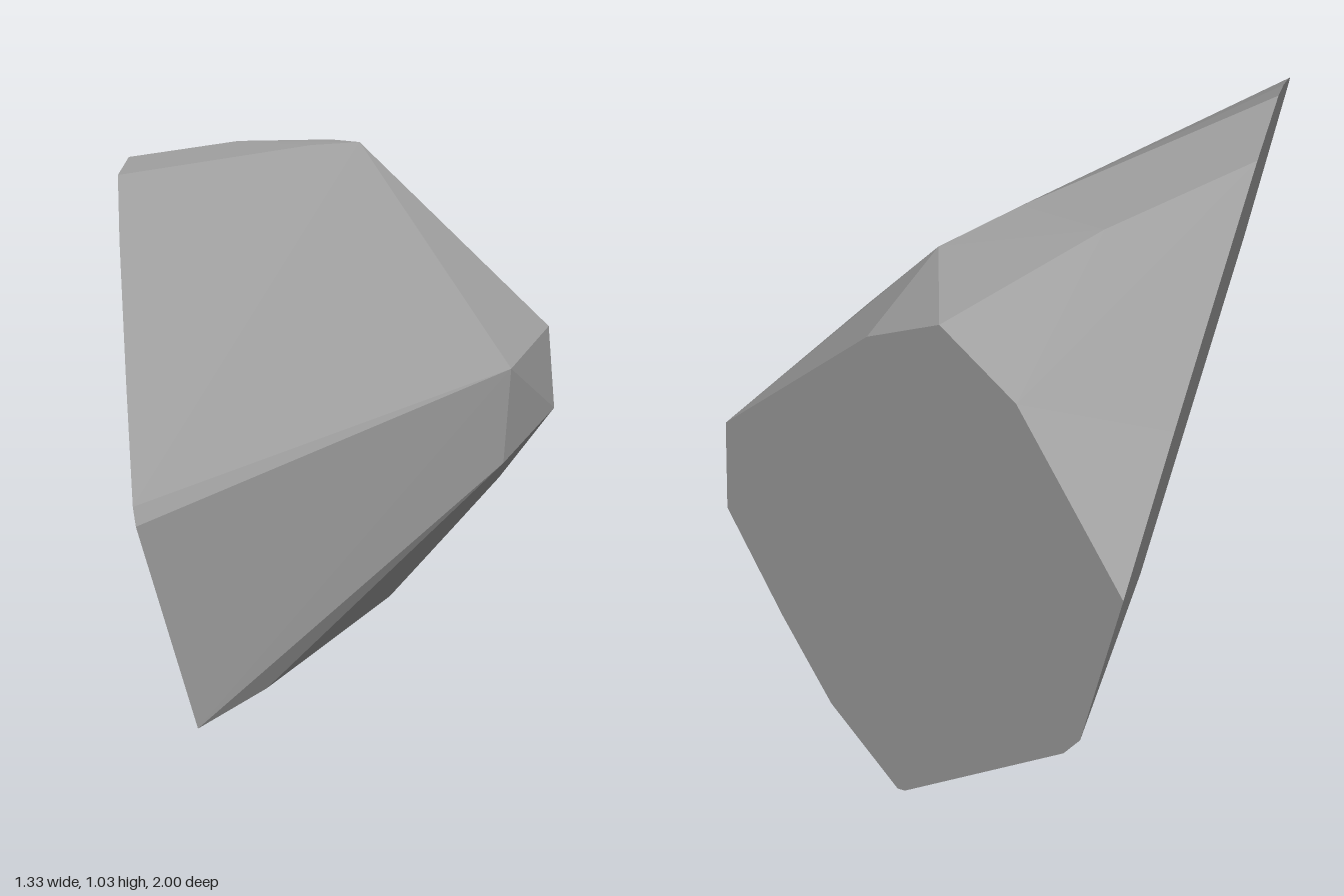
import * as THREE from 'three';
import { ConvexGeometry } from 'three/addons/geometries/ConvexGeometry.js';

// Slanted cleavage plane at the front of the stone
const cutZ = (x, y) => 1.54 * x + 0.47 * y - 0.277;

export function createModel() {
  const group = new THREE.Group();
  group.name = 'rockShard';
  const stone = new THREE.MeshStandardMaterial({ color: 0xa0a0a0 });
  stone.name = 'grey stone';

  // Outline of the slanted front cut
  const front = [
    [-0.55, 0.8], [-0.45, 0.895], [-0.26, 1.03], [-0.08, 1.03], [0.1, 0.94],
    [0.4, 0.77], [0.62, 0.64], [0.64, 0.615], [0.66, 0.25], [0.02, 0.05],
  ].map(([x, y]) => new THREE.Vector3(x, y, cutZ(x, y)));

  // Outline of the flat back
  const back = [
    [-0.665, 0.64], [-0.44, 0.915], [-0.27, 1.0], [-0.09, 0.92], [0.315, 0.615],
    [0.335, 0.43], [0.2, 0.25], [0.08, 0.11], [-0.09, 0.0], [-0.11, 0.005],
    [-0.52, 0.28], [-0.56, 0.325],
  ].map(([x, y]) => new THREE.Vector3(x, y, -1));

  // Corners along the top, the side and the lower edge
  const body = [
    [-0.26, 1.03, -0.6], [-0.08, 1.03, -0.62], [-0.08, 1.02, -0.82],
    [0.49, 0.615, -0.5], [0.51, 0.43, -0.44],
    [0.61, 0.236, 0.58], [0.3, 0.133, -0.35],
  ].map((p) => new THREE.Vector3(...p));

  const rock = new THREE.Mesh(new ConvexGeometry([...front, ...back, ...body]), stone);
  rock.name = 'rock';
  group.add(rock);
  return group;
}
